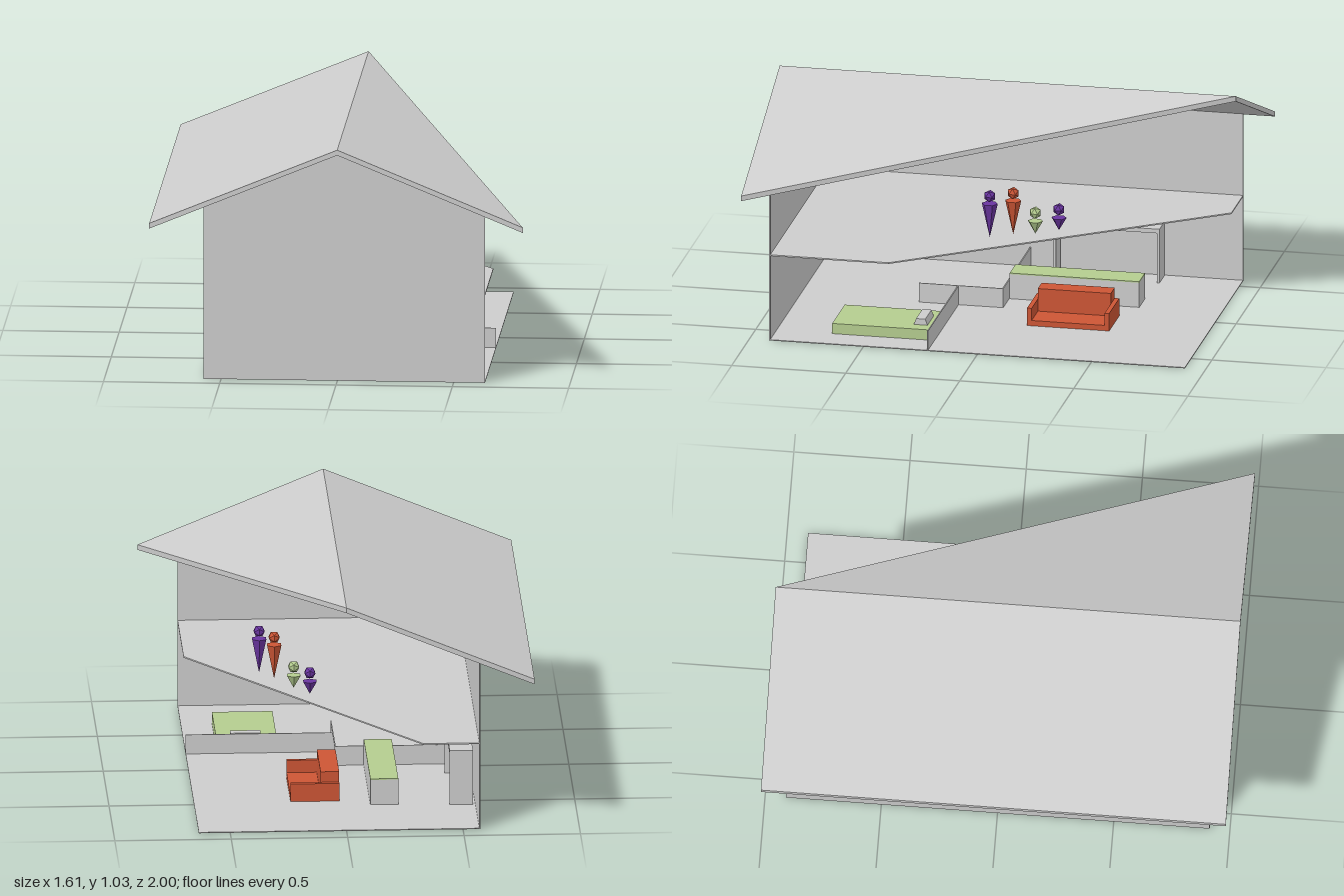
import * as THREE from 'three';

const mat = (name, color, side = THREE.FrontSide) => {
  const m = new THREE.MeshStandardMaterial({ color, side });
  m.name = name;
  return m;
};

export function createModel() {
  const house = new THREE.Group();
  house.name = 'cutawayHouse';
  const grey = mat('plaster grey', 0xcccccc, THREE.DoubleSide);
  const green = mat('soft green', 0xb4cc8f, THREE.DoubleSide);
  const red = mat('brick red', 0xcc5535);
  const purple = mat('purple', 0x6a35a0);

  const add = (name, geometry, material, parent = house) => {
    const m = new THREE.Mesh(geometry, material);
    m.name = name;
    parent.add(m);
    return m;
  };
  // Box given by its minimum and maximum corners
  const box = (name, [x0, y0, z0], [x1, y1, z1], material, parent) => {
    const g = new THREE.BoxGeometry(x1 - x0, y1 - y0, z1 - z0);
    g.translate((x0 + x1) / 2, (y0 + y1) / 2, (z0 + z1) / 2);
    return add(name, g, material, parent);
  };
  // Horizontal plate from an outline of [x, z] points
  const outline = pts => pts.map(([x, z]) => new THREE.Vector2(x, -z));
  const plate = (pts, y, thick, hole) => {
    const s = new THREE.Shape(outline(pts));
    if (hole) s.holes.push(new THREE.Path(outline(hole)));
    return new THREE.ExtrudeGeometry(s, { depth: thick, bevelEnabled: false })
      .rotateX(-Math.PI / 2).translate(0, y, 0);
  };

  const L = -0.575, R = 0.635, Z = 0.91;

  // Ground floor, open under the bed, and upper floor with its diagonal edge
  const bedRect = [[0.24, 0.22], [0.5, 0.22], [0.5, 0.665], [0.24, 0.665]];
  add('groundFloor', plate([[L, Z], [R, Z], [R, -Z], [L, -Z]], 0, 0.004, bedRect), grey);
  add('upperFloor', plate([[L, Z], [R, Z], [R, 0.39], [-0.33, -Z], [L, -Z]], 0.382, 0.006), grey);

  // Gabled front wall and long side wall
  const gable = new THREE.Shape([[L, 0], [R, 0], [R, 0.745], [0.01, 1.008], [L, 0.757]]
    .map(p => new THREE.Vector2(...p)));
  add('frontWall', new THREE.ExtrudeGeometry(gable, { depth: 0.005, bevelEnabled: false })
    .translate(0, 0, Z - 0.002), grey);
  box('sideWall', [L, 0, -Z], [L + 0.005, 0.757, Z], grey);

  // Roof: plates bent down from the ridge, one full and one cut to a triangle
  const roof = (name, pts) => {
    const g = plate(pts, 1.008, 0.023);
    const p = g.attributes.position;
    for (let i = 0; i < p.count; i++) p.setY(i, p.getY(i) - 0.412 * Math.abs(p.getX(i) - 0.005));
    g.computeVertexNormals();
    add(name, g, grey);
  };
  roof('fullRoofSlope', [[-0.803, 1], [0.005, 1], [0.005, -1], [-0.803, -1]]);
  roof('triangularRoofSlope', [[0.005, 1], [0.803, 1], [0.005, -1]]);

  // Bed: open-bottomed shell with a wedge pillow
  const bed = new THREE.Group();
  bed.name = 'bed';
  house.add(bed);
  box('mattressTop', [0.24, 0.046, 0.22], [0.5, 0.05, 0.665], green, bed);
  box('bedFoot', [0.24, 0, 0.661], [0.5, 0.046, 0.665], green, bed);
  box('bedHead', [0.24, 0, 0.22], [0.5, 0.046, 0.224], green, bed);
  box('bedOuterSide', [0.496, 0, 0.224], [0.5, 0.046, 0.661], green, bed);
  box('bedInnerSide', [0.24, 0, 0.224], [0.244, 0.046, 0.661], green, bed);
  box('bedInnerLining', [0.244, 0, 0.224], [0.246, 0.046, 0.661], grey, bed);
  const pillow = new THREE.Shape([[-0.03, 0], [0.03, 0], [0.02, 0.027], [-0.02, 0.027]]
    .map(p => new THREE.Vector2(...p)));
  add('pillow', new THREE.ExtrudeGeometry(pillow, { depth: 0.13, bevelEnabled: false })
    .rotateY(Math.PI / 2).translate(0.31, 0.05, 0.29), grey, bed);

  // Low partitions
  box('bedroomPartition', [0, 0, 0.216], [R, 0.09, 0.221], grey);
  box('bathPartition', [0, 0, 0.02], [0.005, 0.09, 0.39], grey);
  box('bathEndPartition', [L, 0, 0.02], [0, 0.09, 0.025], grey);

  // Sofa
  const sofa = new THREE.Group();
  sofa.name = 'sofa';
  house.add(sofa);
  box('seat', [0.01, 0, -0.47], [0.22, 0.028, -0.15], red, sofa);
  box('backrest', [0.01, 0.028, -0.47], [0.09, 0.13, -0.15], red, sofa);
  for (const z of [-0.49, -0.15]) box('armrest', [0.01, 0, z], [0.22, 0.083, z + 0.02], red, sofa);

  // Kitchen counter with green top, and the tall frame behind it
  box('counter', [-0.24, 0, -0.55], [-0.12, 0.115, 0.018], grey);
  box('counterTop', [-0.24, 0.115, -0.55], [-0.12, 0.12, 0.018], green);
  box('frameTop', [-0.56, 0.228, -0.567], [-0.46, 0.247, -0.1], grey);
  for (const z of [-0.567, -0.112]) box('framePost', [-0.56, 0, z], [-0.46, 0.228, z + 0.012], grey);

  // Figures along the edge of the upper floor: [x, z, tip, shoulder, radius, head height, material]
  for (const [x, z, y0, y1, r, yh, m] of [
    [0.33, 0.01, 0.43, 0.583, 0.035, 0.616, purple],
    [0.27, -0.08, 0.43, 0.583, 0.035, 0.616, red],
    [0.19, -0.16, 0.413, 0.47, 0.033, 0.507, green],
    [0.125, -0.25, 0.413, 0.47, 0.033, 0.507, purple],
  ]) {
    const figure = new THREE.Group();
    figure.name = 'figure';
    house.add(figure);
    const body = new THREE.ConeGeometry(r, y1 - y0, 6).rotateX(Math.PI).toNonIndexed();
    body.computeVertexNormals();
    add('body', body.translate(x, (y0 + y1) / 2, z), m, figure);
    add('head', new THREE.IcosahedronGeometry(0.027, 0).translate(x, yh, z), m, figure);
  }
  return house;
}
